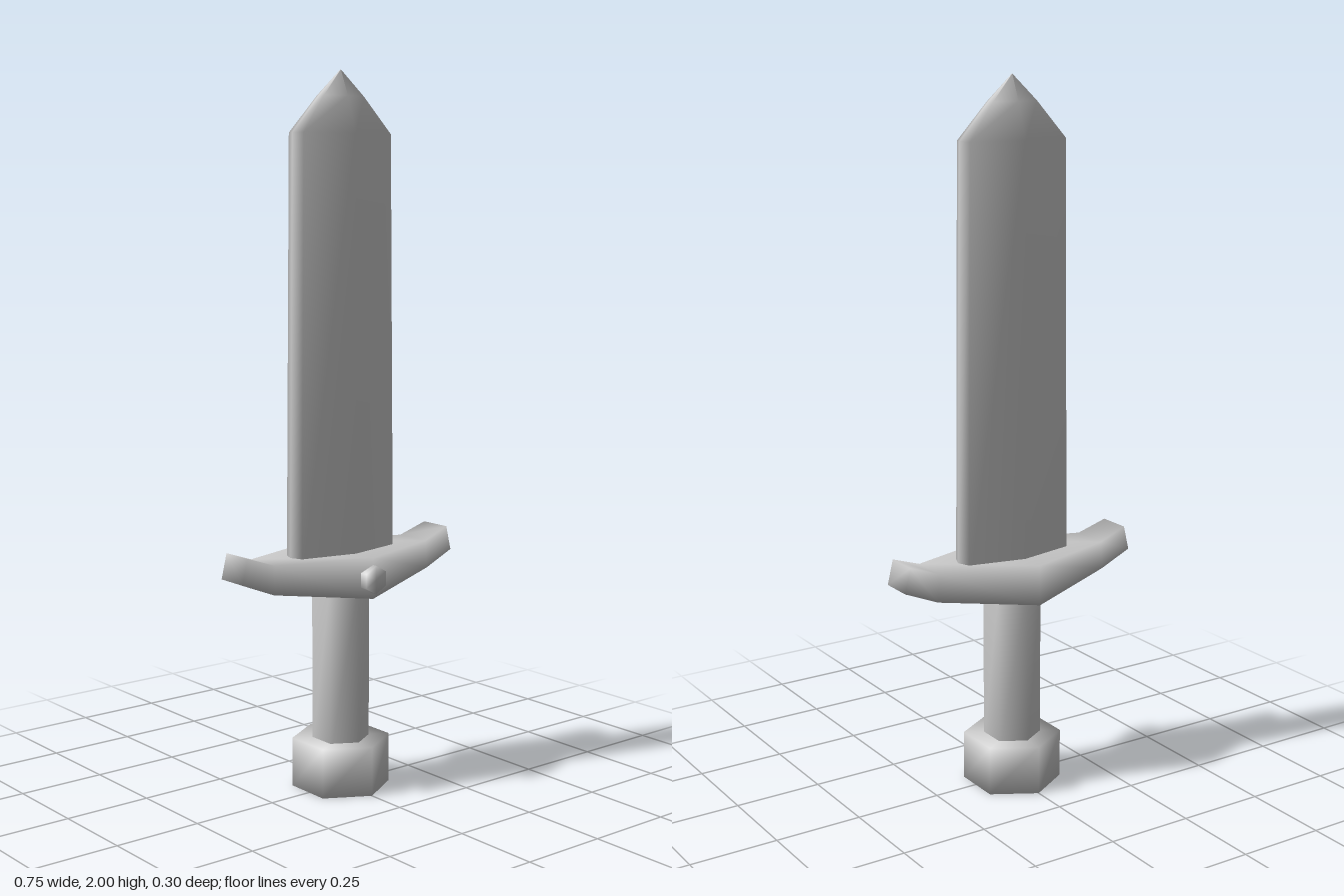
import * as THREE from 'three';
import { mergeVertices } from 'three/addons/utils/BufferGeometryUtils.js';

const Z0 = -0.007; // depth of the sword's centre plane

// Smooth closed skin over a row of equal-sized rings of [x, y, z] points
function loft(rings) {
  const n = rings[0].length, index = [];
  for (let i = 0; i < rings.length - 1; i++) {
    for (let j = 0; j < n; j++) {
      const a = i * n + j, b = i * n + (j + 1) % n;
      index.push(a, b, b + n, a, b + n, a + n);
    }
  }
  const last = (rings.length - 1) * n;
  for (let j = 1; j < n - 1; j++) {
    index.push(0, j + 1, j, last, last + j, last + j + 1);
  }
  const geo = new THREE.BufferGeometry();
  geo.setAttribute('position', new THREE.Float32BufferAttribute(rings.flat(2), 3));
  geo.setIndex(index);
  geo.computeVertexNormals();
  return geo;
}

// Six-sided prism with softly shaded, shared corners
function hexPrism(radius, height) {
  let geo = new THREE.CylinderGeometry(radius, radius, height, 6);
  geo.deleteAttribute('uv');
  geo.deleteAttribute('normal');
  geo = mergeVertices(geo);
  geo.computeVertexNormals();
  return geo;
}

export function createModel() {
  const group = new THREE.Group();
  const steel = new THREE.MeshStandardMaterial({ color: 0xcccccc });
  steel.name = 'steel grey';

  function add(name, geo, y, z) {
    const mesh = new THREE.Mesh(geo, steel);
    mesh.name = name;
    mesh.position.set(0, y, z);
    group.add(mesh);
    return mesh;
  }

  // Blade: ridged section with narrow bevelled edges, closing to a point
  const section = [[0, 1], [0.92, 0.5], [1, 0], [0.92, -0.5], [0, -1], [-0.92, -0.5], [-1, 0], [-0.92, 0.5]];
  const bladeRings = [
    [0.62, 0.178, 0.069], [1.83, 0.165, 0.065], [1.93, 0.075, 0.031], [2, 0.001, 0.001],
  ].map(([y, w, d]) => section.map(([x, z]) => [x * w, y, z * d]));
  add('blade', loft(bladeRings), 0, Z0);

  // Crossguard: diamond in plan, with upturned ends
  const half = [ // bottom x, bottom y, top x, top y, half depth
    [0, 0.565, 0, 0.68, 0.142],
    [0.275, 0.6, 0.27, 0.68, 0.055],
    [0.374, 0.64, 0.357, 0.71, 0.048],
  ];
  const mirrored = half.slice(1).reverse().map(([bx, by, tx, ty, d]) => [-bx, by, -tx, ty, d]);
  const guardRings = [...mirrored, ...half].map(([bx, by, tx, ty, d]) => [
    [tx, ty, -d], [tx, ty, d], [bx, by, d], [bx, by, -d],
  ]);
  add('crossguard', loft(guardRings), 0, Z0);

  // Handle and pommel
  add('grip', hexPrism(0.081, 0.5), 0.35, Z0);
  add('pommel', hexPrism(0.139, 0.14), 0.07, Z0);

  // Stud on the front of the guard
  add('stud', hexPrism(0.04, 0.06), 0.62, 0.118).rotation.x = Math.PI / 2;

  return group;
}
